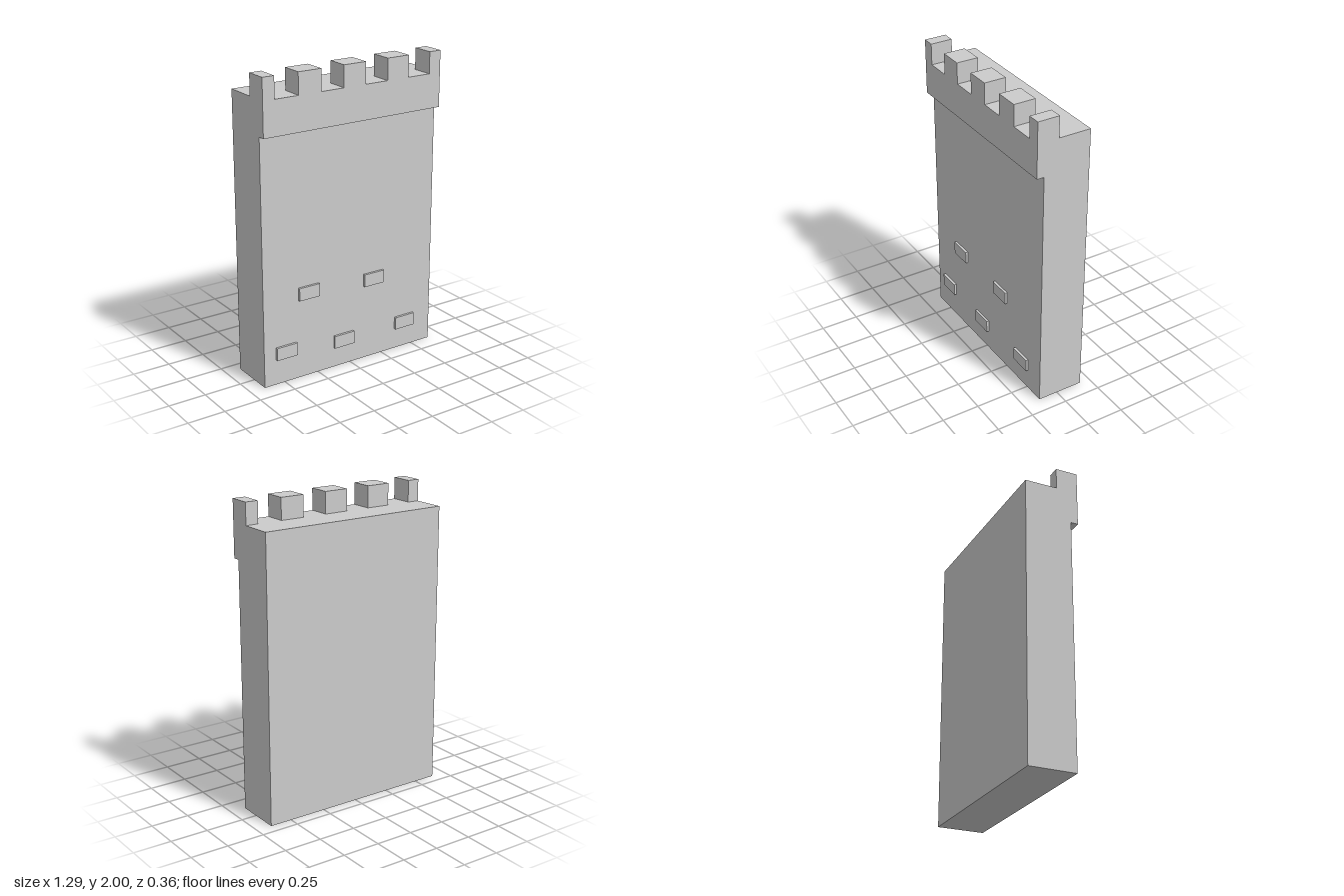
import * as THREE from 'three';

const WIDTH = 1.295;
const BACK = -0.18, WALL_FRONT = 0.132, PARAPET_FRONT = 0.18;
const LEDGE_Y = 1.635, WALK_Y = 1.86, TOP_Y = 2;

export function createModel() {
  const model = new THREE.Group();
  model.name = 'castleWall';
  const material = new THREE.MeshStandardMaterial({ color: 0xcccccc, flatShading: true });

  // Box given by its minimum and maximum corners
  const addBox = (name, x0, x1, y0, y1, z0, z1) => {
    const mesh = new THREE.Mesh(new THREE.BoxGeometry(x1 - x0, y1 - y0, z1 - z0), material);
    mesh.position.set((x0 + x1) / 2, (y0 + y1) / 2, (z0 + z1) / 2);
    mesh.name = name;
    model.add(mesh);
  };

  // Wall with overhanging parapet: side profile (z, y) swept across the width
  const profile = new THREE.Shape([
    [BACK, 0], [WALL_FRONT, 0], [WALL_FRONT, LEDGE_Y],
    [PARAPET_FRONT, LEDGE_Y], [PARAPET_FRONT, WALK_Y], [BACK, WALK_Y],
  ].map(([z, y]) => new THREE.Vector2(z, y)));
  const wallGeometry = new THREE.ExtrudeGeometry(profile, { depth: WIDTH, bevelEnabled: false });
  wallGeometry.translate(0, 0, -WIDTH / 2).rotateY(-Math.PI / 2);
  const wall = new THREE.Mesh(wallGeometry, material);
  wall.name = 'wall';
  model.add(wall);

  // Merlons: evenly spaced, the outer two cut in half by the wall ends
  const pitch = 0.3225, half = 0.08;
  for (let i = -2; i <= 2; i++) {
    const x = i * pitch - 0.002;
    const x0 = Math.max(x - half, -WIDTH / 2);
    const x1 = Math.min(x + half, WIDTH / 2);
    addBox('merlon', x0, x1, WALK_Y, TOP_Y, 0.035, PARAPET_FRONT);
  }

  // Raised stones scattered on the front face
  const stones = [[-0.317, 0.577], [0.18, 0.552], [-0.487, 0.212], [-0.052, 0.177], [0.434, 0.183]];
  for (const [x, y] of stones) {
    addBox('raisedStone', x - 0.075, x + 0.075, y - 0.0425, y + 0.0425, WALL_FRONT - 0.01, 0.148);
  }

  return model;
}
